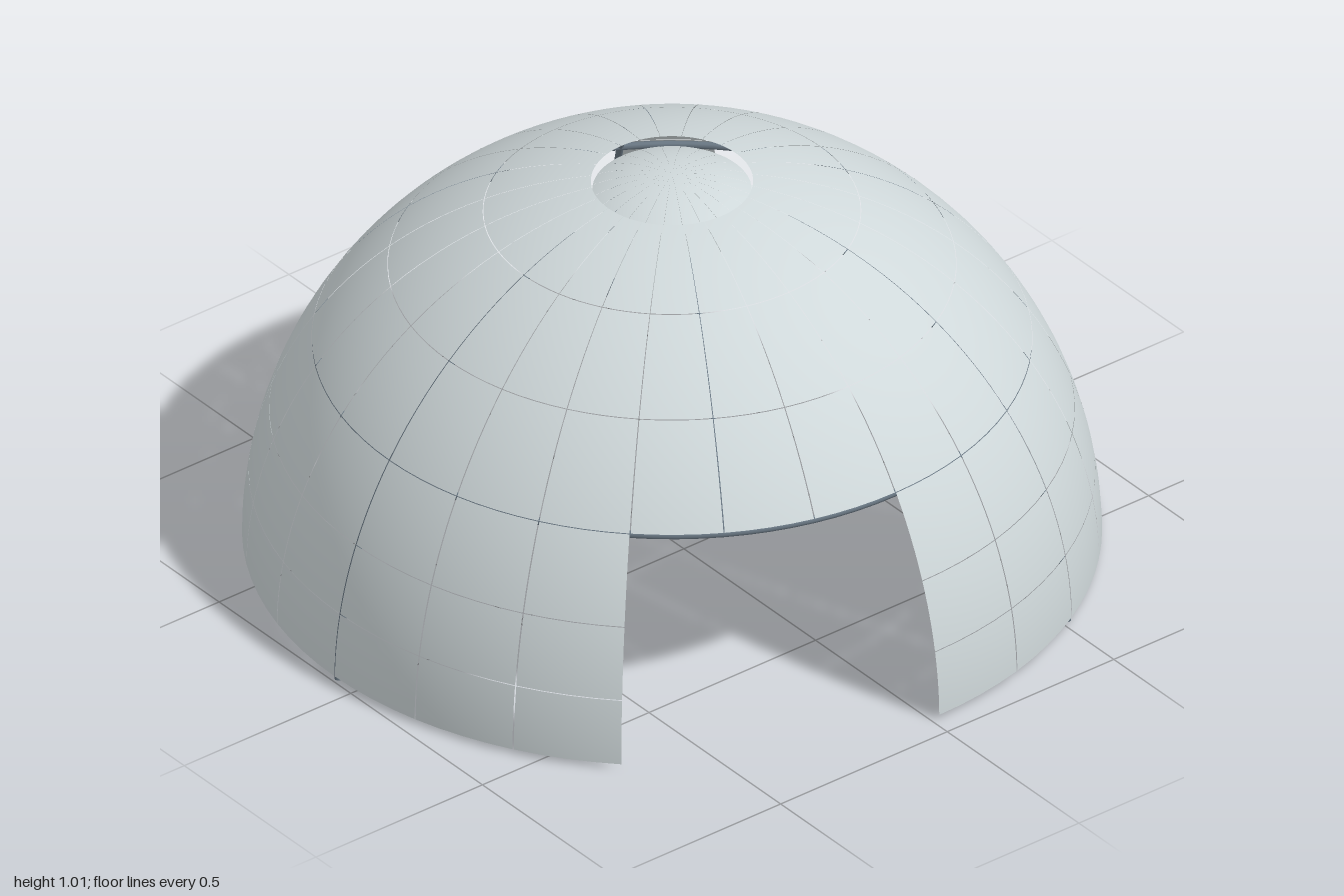
import * as THREE from 'three';
import { mergeGeometries } from 'three/addons/utils/BufferGeometryUtils.js';

const R = 1.013, RIM_Y = 0.553;
const STEP = 15;                          // width of one tile in degrees
const SIDE_GAP = 0.0017, ROW_GAP = 0.001; // half of the open joints, in radians
const WALL_ROWS = [0.01, 0.18, 0.355, RIM_Y];
const CAP_ROWS = [RIM_Y, 0.76, 0.91, 0.995];
const rad = THREE.MathUtils.degToRad;
const elevation = (y) => Math.asin(y / R);

// One curved tile, starting at a compass angle (0 = +x, 90 = -z), between two angles from the pole
function tile(radius, a, top, bottom) {
  return new THREE.SphereGeometry(radius, 4, 6, Math.PI + rad(a) + SIDE_GAP, rad(STEP) - 2 * SIDE_GAP, top, bottom - top);
}

// Rows of tiles between two compass angles, with thin joints left open
function tiling(a0, a1, rows) {
  const tiles = [];
  for (let i = 0; i < rows.length - 1; i++) {
    const top = Math.PI / 2 - elevation(rows[i + 1]) + ROW_GAP;
    const bottom = Math.PI / 2 - elevation(rows[i]) - ROW_GAP;
    for (let a = a0; a < a1; a += STEP) tiles.push(tile(R, a, top, bottom));
  }
  return mergeGeometries(tiles);
}

// Steeper little dome of wedges, set into the opening at the top
function crownTiles() {
  const radius = 0.424, edge = Math.asin(0.188 / radius);
  const tiles = [];
  for (let a = 0; a < 360; a += STEP) tiles.push(tile(radius, a, 0, edge));
  return mergeGeometries(tiles).translate(0, R - radius, 0);
}

// Upright rib just inside the dome
function rib(a, y0, y1) {
  const e0 = elevation(y0), e1 = elevation(y1);
  return new THREE.TorusGeometry(R - 0.011, 0.009, 8, 24, e1 - e0).rotateZ(e0).rotateY(rad(a));
}

export function createModel() {
  const shell = new THREE.MeshStandardMaterial({ color: 0xcfd8da, side: THREE.DoubleSide });
  shell.name = 'pale grey shell';
  const trim = new THREE.MeshStandardMaterial({ color: 0x6a7884 });
  trim.name = 'slate frame';

  const model = new THREE.Group();
  model.name = 'dome';
  const dome = new THREE.Group();
  dome.name = 'domeBody';
  dome.position.set(-0.068, 0, -0.018);
  model.add(dome);
  const add = (name, geometry, material) => {
    const mesh = new THREE.Mesh(geometry, material);
    mesh.name = name;
    dome.add(mesh);
  };

  // Upper cap and its crown
  add('cap', tiling(0, 360, CAP_ROWS), shell);
  add('crown', crownTiles(), shell);

  // Lower wall panels with wide openings between them
  add('rightBackPanel', tiling(0, 75, WALL_ROWS), shell);
  add('narrowPanel', tiling(135, 150, WALL_ROWS), shell);
  add('frontPanel', tiling(210, 315, WALL_ROWS), shell);

  // Ring carrying the cap
  const ring = new THREE.TorusGeometry(0.839, 0.009, 8, 96).rotateX(Math.PI / 2).translate(0, 0.546, 0);
  add('rimRing', ring, trim);

  // Ribs: three down to the ground, six under the cap
  add('wallRibs', mergeGeometries([30, 150, 270].map((a) => rib(a, 0, RIM_Y))), trim);
  add('capRibs', mergeGeometries([30, 90, 150, 210, 270, 330].map((a) => rib(a, RIM_Y, 0.97))), trim);

  return model;
}
